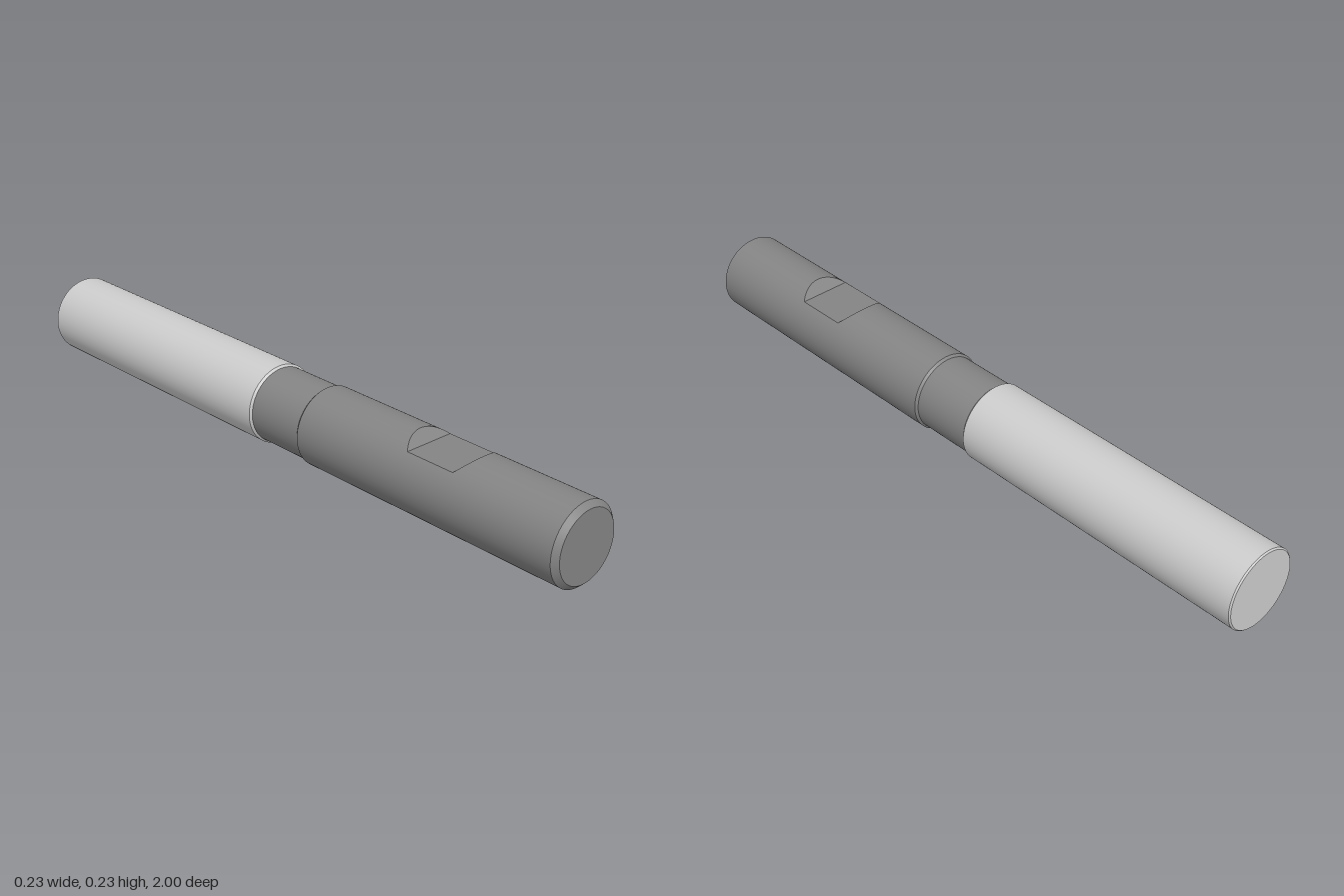
import * as THREE from 'three';
import { mergeGeometries } from 'three/addons/utils/BufferGeometryUtils.js';

const R = 0.115, NECK_R = 0.109, SEG = 96;
const FLAT_H = 0.0845;                       // height of the clamping flat above the axis
const DEPTH = R - FLAT_H;
const NOTCH = [0.455, 0.67];                 // notch ends along z, ramps at 45 degrees

// Turned surface along z from [radius, z] points, with a hard edge at each point
function turned(profile) {
  const parts = [];
  for (let i = 0; i < profile.length - 1; i++) {
    const pair = [profile[i], profile[i + 1]].map(([r, z]) => new THREE.Vector2(r, z));
    parts.push(new THREE.LatheGeometry(pair, SEG).rotateX(Math.PI / 2));
  }
  return mergeGeometries(parts);
}

// Surface through sections; point(section, t) returns [x, y, z] for t in 0..1
function loft(sections, cols, point) {
  const pos = [], index = [], w = cols + 1;
  sections.forEach((s, i) => {
    for (let j = 0; j <= cols; j++) {
      pos.push(...point(s, j / cols));
      if (i && j) {
        const d = i * w + j, c = d - 1, b = d - w, a = b - 1;
        index.push(a, c, d, a, d, b);
      }
    }
  });
  const g = new THREE.BufferGeometry();
  g.setAttribute('position', new THREE.Float32BufferAttribute(pos, 3));
  g.setIndex(index);
  g.computeVertexNormals();
  return g;
}

// Notch sections: z and half opening angle a, following the 45 degree ramps
const openMax = Math.acos(FLAT_H / R);
const rampIn = [], rampOut = [];
for (let i = 0; i <= 12; i++) {
  const a = openMax * i / 12, drop = R * (1 - Math.cos(a));
  rampIn.push({ z: NOTCH[0] + drop, a });
  rampOut.unshift({ z: NOTCH[1] - drop, a });
}

export function createModel() {
  const group = new THREE.Group();
  const dark = new THREE.MeshStandardMaterial({ color: 0x848484 });
  const light = new THREE.MeshStandardMaterial({ color: 0xcccccc });
  const add = (name, geometry, material) => {
    const mesh = new THREE.Mesh(geometry, material);
    mesh.name = name;
    mesh.position.y = R;
    group.add(mesh);
  };

  // Cutting section at the back with fine edge chamfers
  add('cuttingSection', turned([
    [0, -1], [R - 0.004, -1], [R, -0.996], [R, -0.08], [NECK_R, -0.074],
  ]), light);

  // Relieved neck, flaring up to the shank
  add('neck', turned([[NECK_R, -0.074], [NECK_R, 0.108], [R, 0.115]]), dark);

  // Shank cylinder on both sides of the notch, with the chamfered front end
  add('shankRear', turned([[R, 0.115], [R, NOTCH[0]]]), dark);
  add('shankFront', turned([[R, NOTCH[1]], [R, 0.985], [0.1, 1], [0, 1]]), dark);

  // Shank wall around the notch, open at the top
  const wall = loft([...rampIn, ...rampOut], SEG, ({ z, a }, t) => {
    const angle = a + (2 * Math.PI - 2 * a) * t;
    return [R * Math.sin(angle), R * Math.cos(angle), z];
  });
  const p = wall.attributes.position;
  for (let i = 0; i < p.count; i++) {
    wall.attributes.normal.setXYZ(i, p.getX(i) / R, p.getY(i) / R, 0);
  }
  add('shankNotchWall', wall, dark);

  // Clamping flat and its two ramps
  const chord = ({ z, a }, t) => [R * Math.sin(a) * (2 * t - 1), R * Math.cos(a), z];
  add('rearRamp', loft(rampIn, 1, chord), dark);
  add('clampingFlat', loft([rampIn[12], rampOut[0]], 1, chord), dark);
  add('frontRamp', loft(rampOut, 1, chord), dark);

  return group;
}
